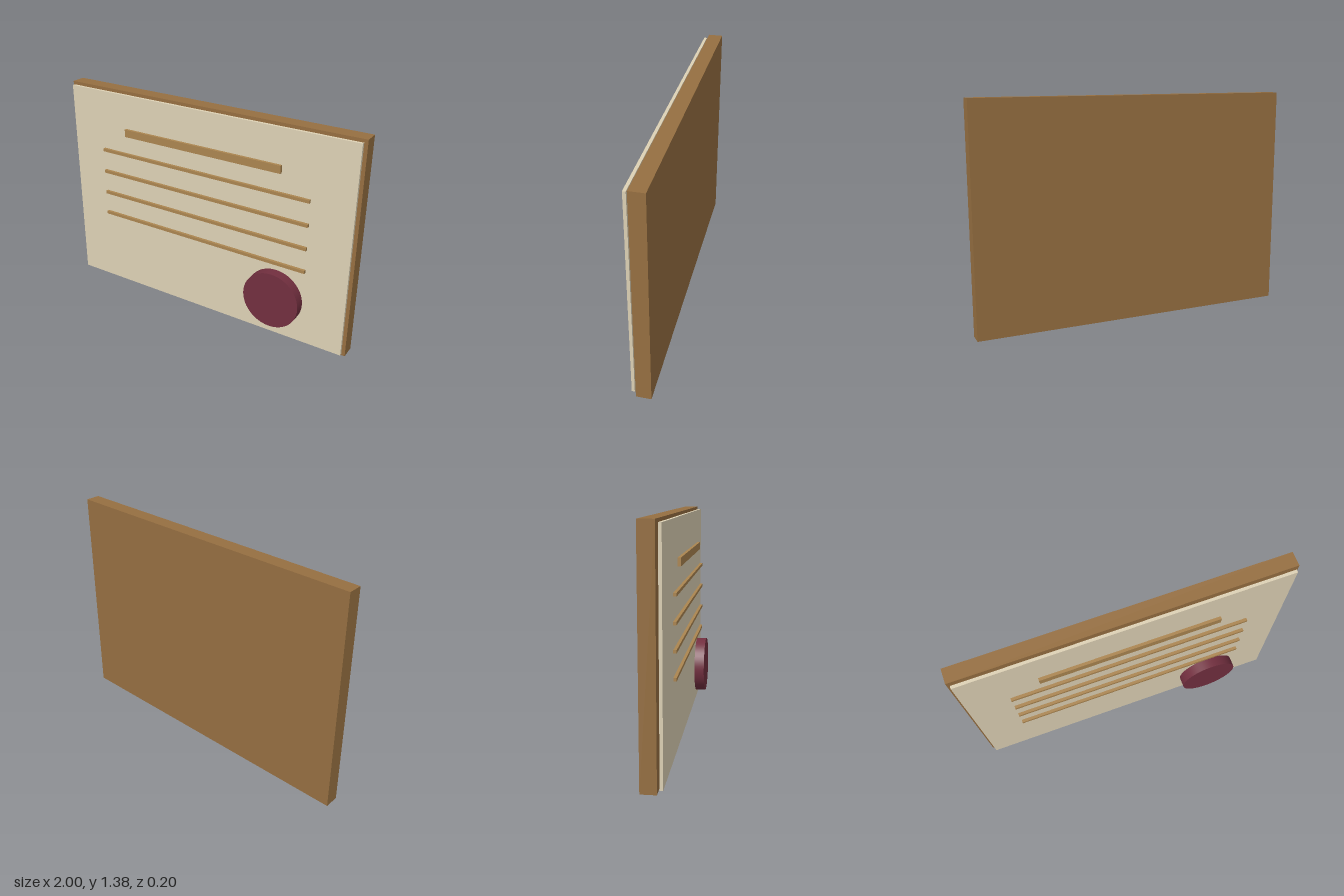
import * as THREE from 'three';

const wood = new THREE.MeshStandardMaterial({ color: 0x966f41 });
const paper = new THREE.MeshStandardMaterial({ color: 0xddd1b5 });
const ink = new THREE.MeshStandardMaterial({ color: 0xab8550 });
const wax = new THREE.MeshStandardMaterial({ color: 0x722f3f });

export function createModel() {
  const group = new THREE.Group();

  function add(name, geometry, material, x, y, z) {
    const mesh = new THREE.Mesh(geometry, material);
    mesh.name = name;
    mesh.position.set(x, y, z);
    group.add(mesh);
  }
  const box = (name, material, w, h, d, y, z) =>
    add(name, new THREE.BoxGeometry(w, h, d), material, 0, y, z);

  // Wooden backing with the sheet floating just in front of it
  box('backingBoard', wood, 2, 1.376, 0.09, 0.688, -0.056);
  box('paperSheet', paper, 1.964, 1.343, 0.018, 0.688, 0.009);

  // Raised heading and four lines of writing
  box('headingBar', ink, 1.086, 0.048, 0.018, 1.127, 0.046);
  for (let i = 0; i < 4; i++) {
    box(`textLine${i + 1}`, ink, 1.456, 0.019, 0.018, 0.978 - i * 0.15, 0.046);
  }

  // Round wax seal in the lower corner
  const seal = new THREE.CylinderGeometry(0.182, 0.182, 0.064, 48).rotateX(Math.PI / 2);
  add('waxSeal', seal, wax, 0.54, 0.295, 0.069);

  return group;
}
